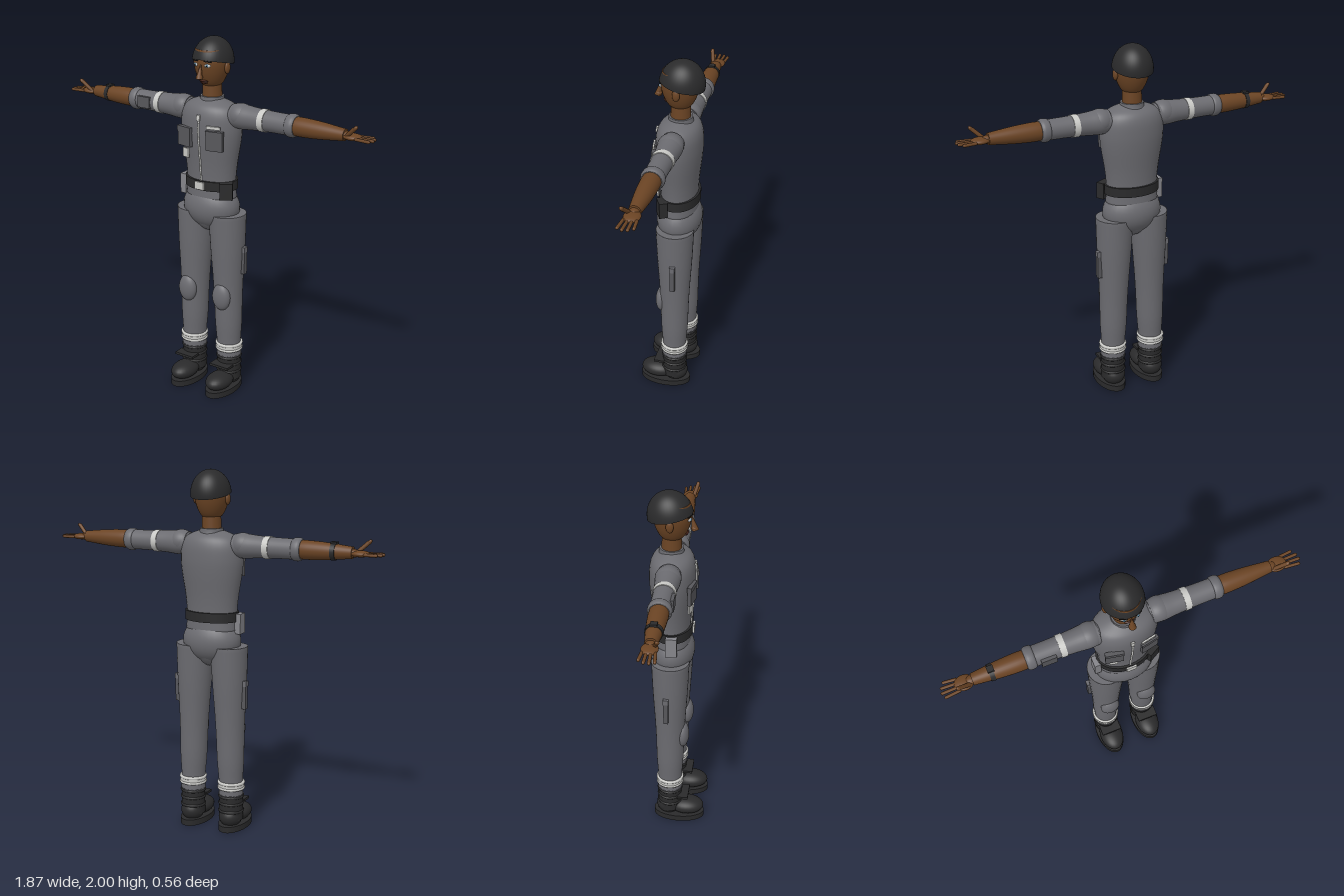
import * as THREE from 'three';

const mat = (name, color) => {
  const m = new THREE.MeshStandardMaterial({ color });
  m.name = name;
  return m;
};

export function createModel() {
  const suit = mat('suit grey', 0x6b6b70), pocketGrey = mat('pocket grey', 0x57575b);
  const black = mat('boot black', 0x2a2a2b), pale = mat('reflective pale', 0xc9c9c6);
  const skin = mat('brown skin', 0x6b4424), lip = mat('lip brown', 0x4a241a);
  const iris = mat('iris blue', 0x4f7d9c), hair = mat('brow black', 0x17120f);
  const metal = mat('light grey', 0x85858a);

  const root = new THREE.Group();
  root.name = 'standingWorker';
  const body = new THREE.Group();
  body.name = 'body';
  body.rotation.y = -0.25;
  root.add(body);

  const add = (name, geo, material, pos = [0, 0, 0], rot = [0, 0, 0], scale = [1, 1, 1], parent = body) => {
    const m = new THREE.Mesh(geo, material);
    m.name = name;
    m.position.set(...pos);
    m.rotation.set(...rot);
    m.scale.set(...scale);
    parent.add(m);
    return m;
  };
  const box = (name, material, size, pos, rot) => add(name, new THREE.BoxGeometry(...size), material, pos, rot);
  const ball = (name, material, radii, pos, rot) => add(name, new THREE.SphereGeometry(1, 28, 18), material, pos, rot, radii);
  // Closed turned solid from [radius, height] points, lowest first
  const turned = (pts) => {
    const curve = new THREE.SplineCurve(pts.map(p => new THREE.Vector2(...p))).getPoints(pts.length * 5);
    const a = curve[0], b = curve[curve.length - 1];
    return new THREE.LatheGeometry([new THREE.Vector2(0, a.y), new THREE.Vector2(a.x * 0.98, a.y), ...curve,
      new THREE.Vector2(b.x * 0.98, b.y), new THREE.Vector2(0, b.y)], 32);
  };

  // Torso, collar and pelvis
  add('torso', turned([[0.15, 1.14], [0.145, 1.22], [0.153, 1.32], [0.174, 1.45], [0.18, 1.53],
    [0.172, 1.6], [0.14, 1.645], [0.07, 1.675]]), suit, [0, 0, 0], [0, 0, 0], [1, 1, 0.68]);
  add('collar', turned([[0.075, 1.64], [0.066, 1.665], [0.063, 1.688]]), suit, [0, 0, -0.005]);
  ball('pelvis', suit, [0.168, 0.13, 0.122], [0, 1.075, 0]);
  ball('crotch', suit, [0.1, 0.13, 0.108], [0, 1.06, 0]);

  // Belt with buckle, pouch and radio
  add('belt', new THREE.CylinderGeometry(0.155, 0.155, 0.052, 40), black, [0, 1.214, 0], [0, 0, 0], [1, 1, 0.72]);
  box('buckle', pale, [0.056, 0.042, 0.012], [0, 1.214, 0.114]);
  box('beltPouch', black, [0.07, 0.09, 0.045], [0.137, 1.195, 0.062], [0, 0.5, 0]);
  box('radio', metal, [0.035, 0.11, 0.06], [-0.162, 1.178, 0.012]);

  // Chest details
  for (const s of [-1, 1]) {
    box('chestPocket', pocketGrey, [0.094, 0.1, 0.02], [s * 0.095, 1.472, 0.112], [0, s * 0.2, 0]);
    box('pocketFlap', pocketGrey, [0.098, 0.026, 0.024], [s * 0.095, 1.515, 0.113], [0, s * 0.2, 0]);
  }
  box('nameTape', pale, [0.078, 0.016, 0.009], [0.09, 1.546, 0.115], [0, 0.2, 0]);
  box('chestBadge', pale, [0.042, 0.05, 0.009], [-0.095, 1.382, 0.104], [0, -0.25, 0]);
  const zip = new THREE.CatmullRomCurve3([[1.24, 0.1], [1.32, 0.106], [1.45, 0.121], [1.53, 0.125], [1.6, 0.119]]
    .map(([y, z]) => new THREE.Vector3(0, y, z)));
  add('zipper', new THREE.TubeGeometry(zip, 30, 0.0055, 6), pale);
  box('zipperPull', pale, [0.02, 0.03, 0.009], [0, 1.59, 0.124], [-0.1, 0, 0]);

  // Neck and head
  add('neck', new THREE.CylinderGeometry(0.049, 0.054, 0.14, 28), skin, [0, 1.73, -0.005]);
  add('head', turned([[0.03, 1.742], [0.053, 1.752], [0.073, 1.785], [0.088, 1.83], [0.094, 1.88], [0.085, 1.94]]),
    skin, [0, 0, -0.002], [0, 0, 0], [1, 1, 1.08]);
  add('cap', new THREE.SphereGeometry(1, 40, 20, 0, Math.PI * 2, 0, Math.PI / 2), black,
    [0, 1.868, -0.012], [-0.2, 0, 0], [0.107, 0.132, 0.12]);
  add('capUnderside', new THREE.CircleGeometry(1, 40), black, [0, 1.868, -0.012], [Math.PI / 2 - 0.2, 0, 0], [0.107, 0.12, 1]);

  // Face
  for (const s of [-1, 1]) {
    ball('ear', skin, [0.013, 0.032, 0.02], [s * 0.096, 1.845, -0.004]);
    ball('eyeWhite', pale, [0.017, 0.009, 0.006], [s * 0.037, 1.864, 0.092], [0, s * 0.4, 0]);
    ball('iris', iris, [0.008, 0.008, 0.005], [s * 0.036, 1.864, 0.096], [0, s * 0.4, 0]);
    ball('pupil', hair, [0.004, 0.004, 0.003], [s * 0.036, 1.864, 0.0995], [0, s * 0.4, 0]);
    box('eyebrow', hair, [0.04, 0.007, 0.009], [s * 0.038, 1.886, 0.093], [0, s * 0.4, -s * 0.12]);
  }
  const nose = new THREE.ConeGeometry(0.019, 0.085, 16);
  add('nose', nose, skin, [0, 1.835, 0.106], [-0.22, 0, 0]);
  ball('noseTip', skin, [0.018, 0.014, 0.018], [0, 1.803, 0.112]);
  ball('upperLip', lip, [0.026, 0.006, 0.009], [0, 1.777, 0.074]);
  ball('lowerLip', lip, [0.021, 0.006, 0.009], [0, 1.768, 0.07]);

  for (const s of [-1, 1]) {
    // Arm stretched sideways
    const arm = [0, 1.6, 0], out = [0, 0, -s * Math.PI / 2];
    ball('shoulder', suit, [0.075, 0.064, 0.068], [s * 0.185, 1.606, 0]);
    add('sleeve', turned([[0.062, 0.14], [0.066, 0.2], [0.06, 0.27], [0.055, 0.38], [0.054, 0.5]]), suit, arm, out);
    add('sleeveCuff', turned([[0.052, 0.475], [0.06, 0.485], [0.061, 0.51], [0.053, 0.525]]), suit, arm, out);
    add('sleeveBand', new THREE.CylinderGeometry(0.0595, 0.0605, 0.032, 32), pale, [s * 0.333, 1.6, 0], out);
    add('forearm', turned([[0.048, 0.5], [0.05, 0.56], [0.045, 0.66], [0.034, 0.77], [0.031, 0.8]]), skin, arm, out);

    // Hand
    ball('palm', skin, [0.052, 0.017, 0.042], [s * 0.84, 1.597, 0]);
    ball('wrist', skin, [0.035, 0.022, 0.026], [s * 0.802, 1.598, 0]);
    [0.09, 0.1, 0.096, 0.078].forEach((len, i) => {
      const z = 0.032 - i * 0.0213, fan = s * z * 5 * 0.6;
      add('finger', new THREE.CapsuleGeometry(0.0085, len - 0.017, 4, 10), skin,
        [s * (0.865 + len / 2), 1.596, z * 1.1], [0, -fan, out[2]]);
    });
    const thumb = new THREE.LineCurve3(new THREE.Vector3(s * 0.815, 1.6, 0.02), new THREE.Vector3(s * 0.87, 1.652, 0.038));
    add('thumb', new THREE.TubeGeometry(thumb, 4, 0.011, 10), skin);
    ball('thumbTip', skin, [0.016, 0.01, 0.011], [s * 0.873, 1.654, 0.039], [0, 0, s * 0.76]);

    // Trouser leg
    add('trouserLeg', turned([[0.069, 0.205], [0.067, 0.28], [0.075, 0.4], [0.079, 0.55], [0.085, 0.68],
      [0.096, 0.86], [0.104, 1.05]]), suit, [s * 0.123, 0, 0], [0, 0, s * 0.018]);
    ball('kneePad', suit, [0.056, 0.078, 0.035], [s * 0.114, 0.575, 0.072]);
    box('thighPocket', pocketGrey, [0.05, 0.15, 0.026], [s * 0.192, 0.785, -0.012]);
    box('thighPocketFlap', suit, [0.054, 0.03, 0.03], [s * 0.193, 0.852, -0.012]);
    add('ankleBand', new THREE.CylinderGeometry(0.073, 0.074, 0.035, 32), pale, [s * 0.12, 0.26, 0]);
    for (const y of [0.245, 0.275])
      add('ankleBandEdge', new THREE.TorusGeometry(0.069, 0.009, 8, 32), pale, [s * 0.12, y, 0], [Math.PI / 2, 0, 0]);
    // Jagged trouser hem
    for (let i = 0; i < 16; i++) {
      const a = i / 16 * Math.PI * 2;
      add('hemTooth', new THREE.ConeGeometry(0.012, 0.026, 4), suit,
        [s * 0.12 + Math.sin(a) * 0.062, 0.196, Math.cos(a) * 0.062], [Math.PI, 0, 0]);
    }

    // Boot
    const x = s * 0.12;
    add('bootSole', new THREE.CylinderGeometry(1, 1, 0.034, 40), black, [x, 0.017, 0.053], [0, 0, 0], [0.078, 1, 0.145]);
    ball('bootToe', black, [0.069, 0.048, 0.1], [x, 0.07, 0.095]);
    ball('bootHeel', black, [0.066, 0.06, 0.072], [x, 0.075, -0.005]);
    add('bootShaft', new THREE.CylinderGeometry(0.066, 0.068, 0.16, 32), black, [x, 0.14, 0]);
    for (const y of [0.11, 0.155, 0.195])
      add('bootRib', new THREE.TorusGeometry(0.065, 0.008, 8, 32), black, [x, y, 0], [Math.PI / 2, 0, 0]);
    box('bootStrap', black, [0.12, 0.014, 0.06], [x, 0.157, 0.078]);
  }

  // Right arm extras: sleeve pocket and watch
  box('sleevePocket', pocketGrey, [0.08, 0.062, 0.03], [-0.415, 1.6, 0.047]);
  add('watchStrap', new THREE.CylinderGeometry(0.044, 0.046, 0.024, 28), black, [-0.7, 1.6, 0], [0, 0, Math.PI / 2]);
  box('watchFace', black, [0.034, 0.012, 0.034], [-0.7, 1.645, 0]);

  return root;
}
